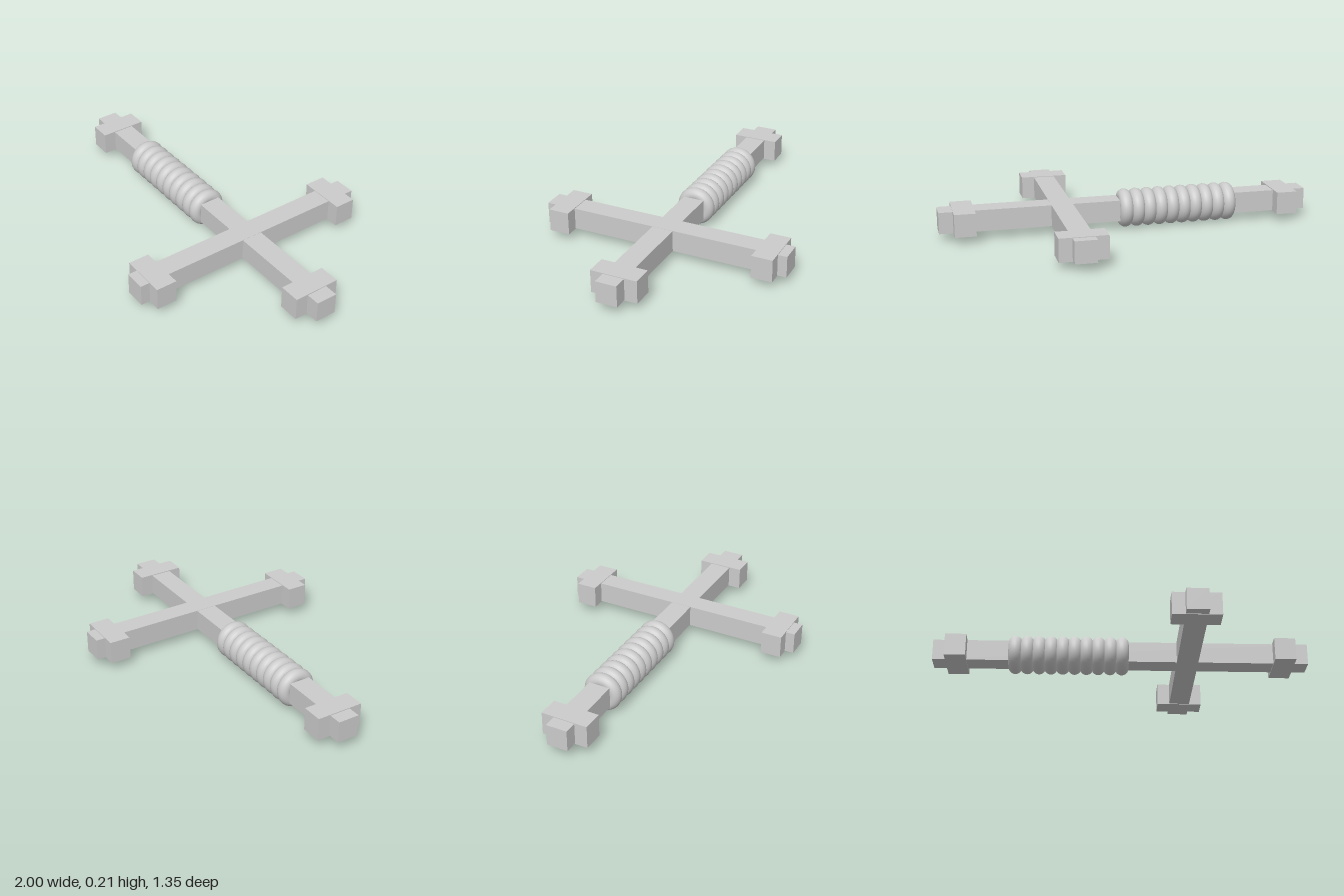
import * as THREE from 'three';

const CENTER_Y = 0.106; // height of the common axis
const CROSS_X = 0.355; // where the crossguard meets the shaft

export function createModel() {
  const group = new THREE.Group();
  const material = new THREE.MeshStandardMaterial({ color: 0xcccccc });

  const add = (name, geometry, x, z) => {
    const mesh = new THREE.Mesh(geometry, material);
    mesh.name = name;
    mesh.position.set(x, CENTER_Y, z);
    group.add(mesh);
    return mesh;
  };
  const bar = (name, w, h, d, x, z) => add(name, new THREE.BoxGeometry(w, h, d), x, z);

  // Long shaft and crossguard
  bar('shaft', 2, 0.114, 0.114, 0, 0);
  bar('crossguard', 0.114, 0.116, 1.35, CROSS_X, 0);

  // Short crosspieces near the four ends
  bar('pommelCrosspiece', 0.112, 0.122, 0.25, -0.875, 0);
  bar('tipCrosspiece', 0.112, 0.122, 0.25, 0.87, 0);
  for (const side of [-1, 1]) {
    bar(side > 0 ? 'frontCrosspiece' : 'backCrosspiece', 0.25, 0.122, 0.112, CROSS_X, side * 0.57);
  }

  // Grip wrapped in rounded rings
  const ring = new THREE.TorusGeometry(0.067, 0.036, 20, 40).rotateY(Math.PI / 2);
  for (let i = 0; i < 10; i++) {
    add(`gripRing${i + 1}`, ring, -0.563 + i * 0.0633, 0);
  }
  return group;
}
